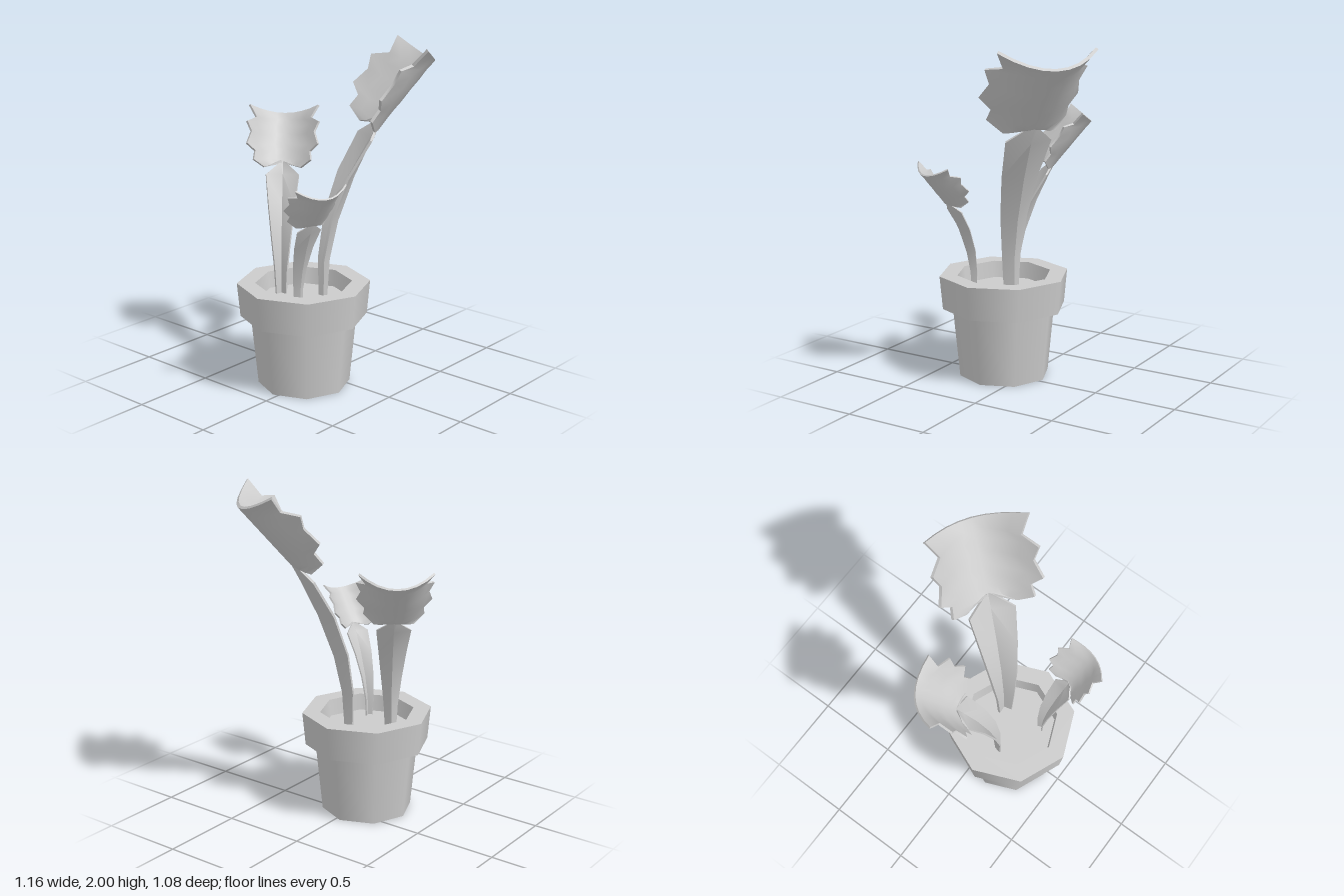
import * as THREE from 'three';
import { toCreasedNormals } from 'three/addons/utils/BufferGeometryUtils.js';

const material = new THREE.MeshStandardMaterial({ color: 0xcccccc });

// Thick sheet from a grid of points: rows run upwards, columns towards +x.
function sheet(rows, thickness, crease) {
  const R = rows.length, C = rows[0].length, n = R * C;
  const outer = [];
  for (let i = 0; i < R - 1; i++) {
    for (let j = 0; j < C - 1; j++) {
      const a = i * C + j, b = a + 1, d = a + C, c = d + 1;
      outer.push(a, b, c, a, c, d);
    }
  }
  const points = rows.flat();
  const skin = new THREE.BufferGeometry().setFromPoints(points);
  skin.setIndex(outer);
  skin.computeVertexNormals();
  const normals = skin.attributes.normal;
  const back = points.map((p, k) =>
    new THREE.Vector3().fromBufferAttribute(normals, k).multiplyScalar(thickness).add(p));

  // outer face, reversed inner face, then the rim joining them
  const index = outer.map(k => k + n);
  for (let k = 0; k < outer.length; k += 3) index.push(outer[k], outer[k + 2], outer[k + 1]);
  const loop = [];
  for (let j = 0; j < C - 1; j++) loop.push(j);
  for (let i = 0; i < R - 1; i++) loop.push(i * C + C - 1);
  for (let j = C - 1; j > 0; j--) loop.push((R - 1) * C + j);
  for (let i = R - 1; i > 0; i--) loop.push(i * C);
  loop.forEach((p, k) => {
    const q = loop[(k + 1) % loop.length];
    index.push(p, q, q + n, p, q + n, p + n);
  });
  const geometry = new THREE.BufferGeometry().setFromPoints([...points, ...back]);
  geometry.setIndex(index);
  return toCreasedNormals(geometry, crease);
}

// Folded stem: [spine y, spine z, edge y, edge z, half width]
function stemGeometry() {
  const sections = [
    [0.00, 0.03, 0.00, 0.00, 0.035],
    [0.25, 0.045, 0.25, 0.00, 0.048],
    [0.48, 0.095, 0.50, 0.04, 0.075],
    [0.74, 0.19, 0.75, 0.13, 0.105],
    [0.96, 0.295, 0.97, 0.257, 0.133],
    [1.055, 0.345, 1.055, 0.335, 0.02],
  ];
  const rows = sections.map(([sy, sz, ey, ez, w]) => [
    new THREE.Vector3(-w, ey, ez),
    new THREE.Vector3(0, sy, sz),
    new THREE.Vector3(w, ey, ez),
  ]);
  return sheet(rows, 0.015, 0.6);
}

// Cupped, toothed head: [spine position, edge position, half width, edge curl]
function headGeometry() {
  const sections = [
    [0.00, 0.00, 0.015, 0.00],
    [0.02, -0.07, 0.146, 0.04],
    [0.06, -0.04, 0.228, 0.117],
    [0.12, 0.04, 0.22, 0.12],
    [0.18, 0.08, 0.284, 0.173],
    [0.26, 0.194, 0.252, 0.165],
    [0.33, 0.273, 0.289, 0.195],
    [0.40, 0.344, 0.221, 0.135],
    [0.455, 0.455, 0.28, 0.145],
  ];
  const half = 4;
  const rows = sections.map(([mid, edge, width, curl]) => {
    const row = [];
    for (let j = -half; j <= half; j++) {
      const u = Math.abs(j) / half;
      const t = mid + (edge - mid) * u;
      const n = curl * u * u;
      row.push(new THREE.Vector3(
        width * j / half,
        1.055 + 0.76 * t + 0.65 * n,
        0.345 + 0.65 * t - 0.76 * n));
    }
    return row;
  });
  return sheet(rows, 0.018, 0.8);
}

// Octagonal pot, one smooth band per profile segment so the edges stay sharp
function makePot() {
  const pot = new THREE.Group();
  pot.name = 'pot';
  const profile = [
    [0, 0], [0.27, 0], [0.31, 0.42], [0.37, 0.42],
    [0.388, 0.62], [0.282, 0.62], [0.27, 0.52], [0, 0.52],
  ];
  const names = ['potBase', 'potWall', 'rimUnderside', 'rimWall', 'rimTop', 'innerWall', 'soil'];
  names.forEach((name, i) => {
    const pair = [profile[i], profile[i + 1]].map(([x, y]) => new THREE.Vector2(x, y));
    const mesh = new THREE.Mesh(new THREE.LatheGeometry(pair, 8), material);
    mesh.name = name;
    pot.add(mesh);
  });
  pot.position.set(-0.03, 0, 0.14);
  return pot;
}

export function createModel() {
  const model = new THREE.Group();
  model.name = 'pottedPlant';
  model.add(makePot());

  // Three copies of one sprout: name, root x and z, lean direction x and z, scale
  const stem = stemGeometry(), head = headGeometry();
  const sprouts = [
    ['tallSprout', 0.025, 0.06, 0.585, -0.81, 1],
    ['middleSprout', -0.178, 0.173, -0.625, -0.78, 0.72],
    ['smallSprout', 0.058, 0.289, 0.93, 0.363, 0.535],
  ];
  for (const [name, x, z, dx, dz, scale] of sprouts) {
    const sprout = new THREE.Group();
    sprout.name = name;
    for (const [part, geometry] of [['stem', stem], ['leafHead', head]]) {
      const mesh = new THREE.Mesh(geometry, material);
      mesh.name = part;
      sprout.add(mesh);
    }
    sprout.position.set(x, 0.5, z);
    sprout.rotation.y = Math.atan2(dx, dz);
    sprout.scale.setScalar(scale);
    model.add(sprout);
  }
  return model;
}
